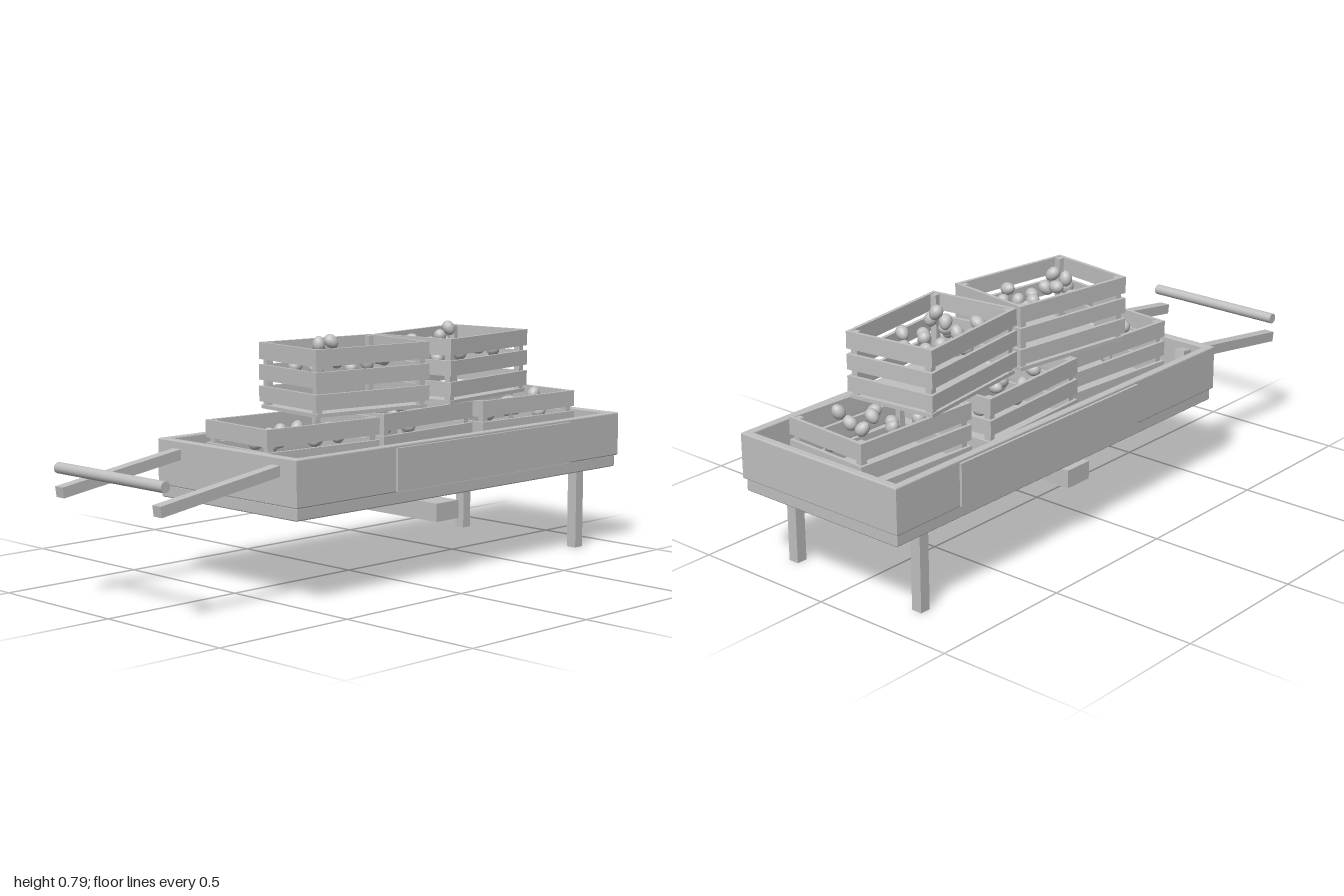
import * as THREE from 'three';
import { RoundedBoxGeometry } from 'three/addons/geometries/RoundedBoxGeometry.js';

const wood = new THREE.MeshStandardMaterial({ color: 0xc0c0c0 });
wood.name = 'plain grey';

function add(parent, name, geometry, x = 0, y = 0, z = 0) {
  const mesh = new THREE.Mesh(geometry, wood);
  mesh.name = name;
  mesh.position.set(x, y, z);
  parent.add(mesh);
  return mesh;
}
const box = (w, h, d) => new THREE.BoxGeometry(w, h, d);

// Slatted crate, origin at the middle of its underside
const W = 0.452, D = 0.315, H = 0.215, T = 0.012;
function makeCrate() {
  const crate = new THREE.Group();
  add(crate, 'crateFloor', box(W - 0.01, T, D - 0.01), 0, T / 2, 0);
  const slats = [[0.023, 0.073], [0.093, 0.143], [0.16, H]];
  for (const s of [-1, 1]) {
    for (const [y0, y1] of slats) {
      const h = y1 - y0, y = (y0 + y1) / 2;
      add(crate, 'longSlat', box(W, h, T), 0, y, s * (D - T) / 2);
      add(crate, 'endSlat', box(T, h, D - 2 * T), s * (W - T) / 2, y, 0);
    }
    for (const t of [-1, 1]) {
      add(crate, 'cornerPost', box(0.022, H - 0.002, 0.022),
        s * (W / 2 - T - 0.009), (H - 0.002) / 2, t * (D / 2 - T - 0.009));
    }
  }
  return crate;
}

// Egg-shaped produce, narrower towards the top
function makeEggGeometry() {
  const points = [];
  for (let i = 0; i <= 10; i++) {
    const a = -Math.PI / 2 + (i / 10) * Math.PI;
    const r = i === 0 || i === 10 ? 0 : 0.021 * Math.cos(a) * (1 - 0.1 * Math.sin(a));
    points.push(new THREE.Vector2(r, 0.026 * Math.sin(a)));
  }
  return new THREE.LatheGeometry(points, 14);
}

// Fill a crate with a spiral scatter of produce, plus a few pieces heaped on top
function fillCrate(crate, geometry, count, heaped, seed) {
  const spots = [...heaped];
  for (let i = 0; i < count; i++) {
    const r = Math.sqrt((i + 0.5) / count), a = i * 2.4 + seed;
    spots.push([0.185 * r * Math.cos(a), 0.155 + 0.018 * Math.sin(i * 1.9), 0.12 * r * Math.sin(a)]);
  }
  spots.forEach(([x, y, z], i) => {
    const egg = add(crate, 'produce', geometry, x, y, z);
    egg.rotation.set(i * 1.7 + seed, i * 2.3, i * 0.9);
  });
}

// Crate positions, turns, scattered count and heaped pieces in crate space
const crates = [
  { name: 'upperCrateRight', at: [-0.02, 0.54, 0], turn: -0.14, count: 14,
    heaped: [[-0.08, 0.21, -0.03], [-0.06, 0.22, 0.01], [-0.02, 0.2, -0.05]] },
  { name: 'upperCrateLeft', at: [0.485, 0.54, 0.005], turn: 0.13, count: 14,
    heaped: [[-0.11, 0.19, -0.09], [-0.04, 0.2, -0.02], [-0.025, 0.229, 0.005]] },
  { name: 'lowerCrateRight', at: [-0.263, 0.315, 0.016], turn: -0.08, count: 12,
    heaped: [[-0.13, 0.18, 0.05]] },
  { name: 'lowerCrateMiddle', at: [0.225, 0.315, -0.018], turn: 0.06, count: 10,
    heaped: [[-0.005, 0.215, 0.03]] },
  { name: 'lowerCrateLeft', at: [0.715, 0.315, 0.008], turn: -0.05, count: 10,
    heaped: [[-0.005, 0.18, 0.045], [0.09, 0.21, 0.09]] },
];

export function createModel() {
  const cart = new THREE.Group();
  cart.name = 'handCart';

  // Bed slab and raised rim
  const cx = 0.231;
  add(cart, 'bedFloor', new RoundedBoxGeometry(1.52, 0.042, 0.628, 2, 0.005), cx, 0.292, 0);
  const b = 0.004, hw = 0.766 - b, hd = 0.322 - b, iw = 0.738 + b, id = 0.295 + b;
  const rim = new THREE.Shape([
    new THREE.Vector2(-hw, -hd), new THREE.Vector2(hw, -hd),
    new THREE.Vector2(hw, hd), new THREE.Vector2(-hw, hd)]);
  rim.holes.push(new THREE.Path([
    new THREE.Vector2(-iw, -id), new THREE.Vector2(-iw, id),
    new THREE.Vector2(iw, id), new THREE.Vector2(iw, -id)]));
  const rimGeometry = new THREE.ExtrudeGeometry(rim,
    { depth: 0.15 - 2 * b, bevelThickness: b, bevelSize: b, bevelSegments: 2 });
  rimGeometry.rotateX(-Math.PI / 2);
  add(cart, 'bedRim', rimGeometry, cx, 0.311 + b, 0);

  // Axle block under the bed
  add(cart, 'axle', box(0.104, 0.06, 0.6), 0.152, 0.217, 0);

  // Paired side panels, legs and sloping handle arms
  const slope = Math.atan(0.145);
  for (const s of [-1, 1]) {
    add(cart, 'sidePanel', box(0.84, 0.138, 0.01), 0.31, 0.383, s * 0.3255);
    add(cart, 'leg', box(0.037, 0.274, 0.037), 0.843, 0.137, s * 0.262);
    const arm = add(cart, 'handleArm', box(0.537, 0.034, 0.037), -0.731, 0.39, s * 0.23);
    arm.rotation.z = slope;
  }
  const gripGeometry = new THREE.CylinderGeometry(0.0175, 0.0175, 0.504, 16);
  add(cart, 'handleGrip', gripGeometry, -0.9825, 0.423, 0).rotation.x = Math.PI / 2;

  // Crates with their loose produce
  const eggGeometry = makeEggGeometry();
  crates.forEach(({ name, at, turn, count, heaped }, i) => {
    const crate = makeCrate();
    crate.name = name;
    crate.position.set(...at);
    crate.rotation.y = turn;
    fillCrate(crate, eggGeometry, count, heaped, i);
    cart.add(crate);
  });
  return cart;
}
